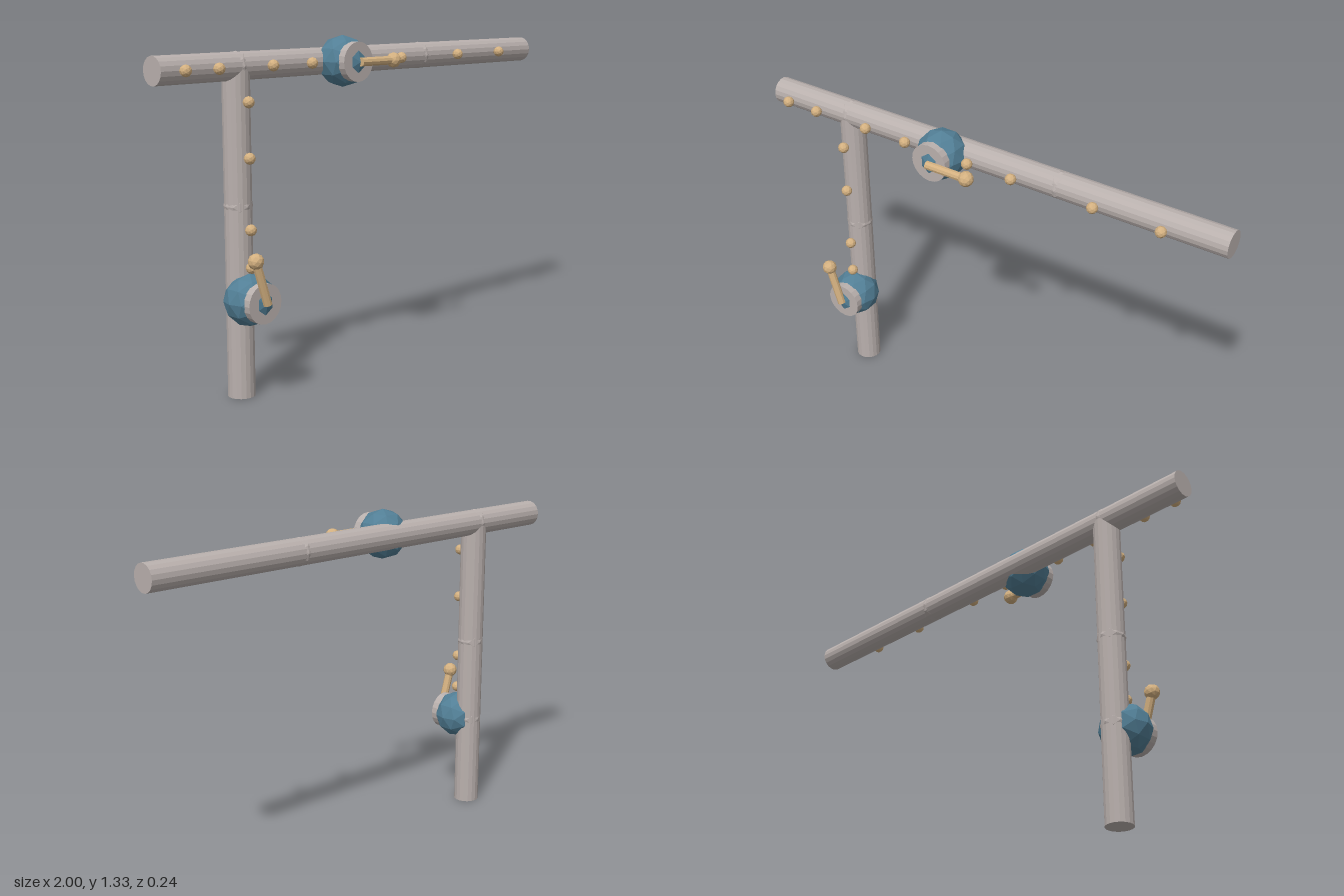
import * as THREE from 'three';

export function createModel() {
  const model = new THREE.Group();
  model.name = 'pipework';

  const mat = (name, color) => {
    const m = new THREE.MeshStandardMaterial({ color, flatShading: true });
    m.name = name;
    return m;
  };
  const grey = mat('pipe grey', 0xb9b0ad);
  const blue = mat('valve blue', 0x527f96);
  const tan = mat('brass tan', 0xd3b080);

  const add = (parent, name, geometry, material, x = 0, y = 0, z = 0) => {
    const mesh = new THREE.Mesh(geometry, material);
    mesh.name = name;
    mesh.position.set(x, y, z);
    parent.add(mesh);
    return mesh;
  };

  const pipeR = 0.052, pipeZ = -0.066, postX = -0.64, beamY = 1.23;

  // Pipes: an upright post under a long horizontal run
  add(model, 'uprightPipe', new THREE.CylinderGeometry(pipeR, pipeR, beamY, 18), grey, postX, beamY / 2, pipeZ);
  add(model, 'horizontalPipe', new THREE.CylinderGeometry(pipeR, pipeR, 2, 18), grey, 0, beamY, pipeZ)
    .rotation.z = Math.PI / 2;

  // Joints: faceted balls that just break through the pipe walls
  const jointGeo = new THREE.IcosahedronGeometry(0.0548, 1);
  for (const [x, y] of [[postX, beamY], [0.32, beamY], [postX, 0.723], [postX, 0.377]])
    add(model, 'pipeJoint', jointGeo, grey, x, y, pipeZ);

  // Rivets along the front of both pipes
  const rivetGeo = new THREE.IcosahedronGeometry(0.022, 1);
  for (const x of [-0.912, -0.768, -0.522, -0.332, -0.045, 0.148, 0.49, 0.76])
    add(model, 'rivet', rivetGeo, tan, x, beamY, 0.005);
  for (const y of [1.105, 0.902, 0.64, 0.5])
    add(model, 'rivet', rivetGeo, tan, postX, y, 0.005);

  // Valves: faceted body, front collar and a lever with a knob
  const bodyGeo = new THREE.IcosahedronGeometry(0.099, 1);
  const collarGeo = new THREE.CylinderGeometry(0.076, 0.076, 0.05, 20).rotateX(Math.PI / 2);
  const knobGeo = new THREE.IcosahedronGeometry(0.03, 1);
  const leverLength = 0.176;
  const leverGeo = new THREE.CylinderGeometry(0.017, 0.017, leverLength, 10).translate(0, leverLength / 2, 0);

  const addValve = (name, x, y, angle) => {
    const valve = new THREE.Group();
    valve.name = name;
    valve.position.set(x, y, 0);
    add(valve, 'valveBody', bodyGeo, blue, 0, 0, -0.007);
    add(valve, 'valveCollar', collarGeo, grey, 0, 0, 0.055);
    const lever = new THREE.Group();
    lever.name = 'lever';
    lever.position.z = 0.093;
    lever.rotation.z = angle;
    add(lever, 'leverBar', leverGeo, tan);
    add(lever, 'leverKnob', knobGeo, tan, 0, leverLength, 0);
    valve.add(lever);
    model.add(valve);
  };
  addValve('lowerValve', postX, 0.378, 0.3);
  addValve('upperValve', -0.165, beamY, -Math.PI / 2);

  return model;
}
